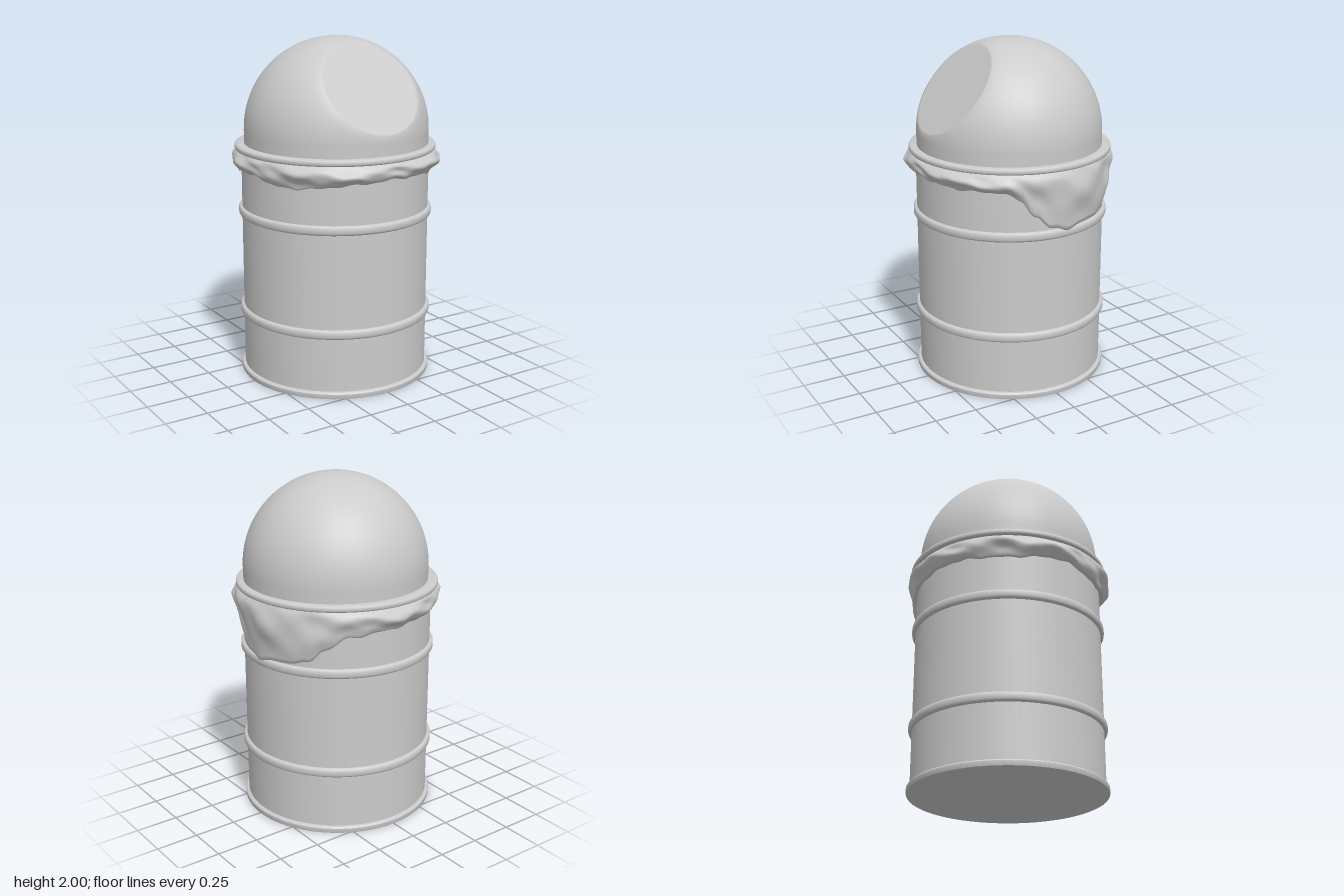
import * as THREE from 'three';
import { toCreasedNormals } from 'three/addons/utils/BufferGeometryUtils.js';

const material = new THREE.MeshStandardMaterial({ color: 0xcccccc });
const linerMaterial = new THREE.MeshStandardMaterial({ color: 0xcccccc, side: THREE.DoubleSide });
const SEGMENTS = 64;

function named(name, geometry, mat = material) {
  const mesh = new THREE.Mesh(geometry, mat);
  mesh.name = name;
  return mesh;
}

// Turned part from [radius, y] points listed from bottom to top
function turned(name, points, crease = 0.6) {
  const lathe = new THREE.LatheGeometry(points.map(([r, y]) => new THREE.Vector2(r, y)), SEGMENTS);
  return named(name, toCreasedNormals(lathe, crease));
}

// Hoop with rounded outer edges
function hoop(name, inner, outer, y0, y1, bevel) {
  const b = bevel, h = bevel * 0.35;
  return turned(name, [
    [inner, y0], [outer - b, y0], [outer - h, y0 + h], [outer, y0 + b],
    [outer, y1 - b], [outer - h, y1 - h], [outer - b, y1], [inner, y1],
  ], 0.9);
}

// Dome: a sphere sliced by a tilted plane, leaving a flat round hatch
function createDome() {
  const R = 0.54, cut = 0.448, hatchR = 0.288, centreY = 1.46, tilt = 0.913;
  const place = (geometry) => geometry.rotateX(tilt).translate(0, centreY, 0);
  const profile = [];
  const rows = 36, start = Math.acos(cut / R);
  for (let i = 0; i <= rows; i++) {
    const t = Math.PI + (start - Math.PI) * (i / rows);
    profile.push(new THREE.Vector2(Math.max(0, R * Math.sin(t)), R * Math.cos(t)));
  }
  profile.push(new THREE.Vector2(hatchR, cut));
  const shell = place(new THREE.LatheGeometry(profile, SEGMENTS));

  // Flatten the part sunk below the rim
  const pos = shell.attributes.position;
  for (let i = 0; i < pos.count; i++) pos.setY(i, Math.max(pos.getY(i), 1.36));

  const disc = new THREE.CircleGeometry(hatchR, SEGMENTS).rotateX(-Math.PI / 2).translate(0, cut, 0);
  const dome = new THREE.Group();
  dome.name = 'dome';
  dome.add(named('domeShell', shell), named('hatch', place(disc)));
  return dome;
}

// Lower hem of the liner: [degrees from +x towards +z, height]
const HEM = [
  [-61, 1.2], [-47, 1.13], [-38, 1.05], [-20, 1.03], [-6, 1.01], [5, 1.03], [15, 1.11], [23, 1.2],
  [32, 1.25], [60, 1.25], [90, 1.26], [115, 1.245], [135, 1.225], [150, 1.215], [180, 1.25],
  [215, 1.22], [250, 1.235], [280, 1.22], [299, 1.2],
];

function hemHeight(degrees) {
  const i = HEM.findIndex(([a]) => a > degrees);
  const [a0, y0] = HEM[i - 1], [a1, y1] = HEM[i];
  return THREE.MathUtils.lerp(y0, y1, THREE.MathUtils.smoothstep(degrees, a0, a1));
}

// Crumpled bag liner folded over the rim, hanging low on the left side
function createLiner() {
  const around = 160, rows = 14, positions = [], index = [];
  for (let j = 0; j <= rows + 1; j++) {
    const v = Math.min(1, j / rows);
    for (let i = 0; i < around; i++) {
      const degrees = -61 + (360 * i) / around;
      const a = THREE.MathUtils.degToRad(degrees);
      const hem = hemHeight(degrees) + 0.004 * Math.sin(17 * a) + 0.003 * Math.sin(29 * a + 1);
      const y = THREE.MathUtils.lerp(1.355, hem, v);
      const sag = THREE.MathUtils.clamp((1.25 - hem) / 0.2, 0, 1);
      const swell = Math.sin(Math.PI * Math.pow(v, 0.9 - 0.35 * sag));
      const folds = 0.010 * Math.sin(5 * a + 5 * v + 0.6) + 0.006 * Math.sin(9 * a - 6 * v)
        + 0.004 * Math.sin(16 * a + 8 * v + 2);
      let r = 0.569 + swell * (0.036 - 0.012 * sag + folds);
      if (j > rows) r = 0.546; // hem tucked back to the wall
      positions.push(r * Math.cos(a), y, r * Math.sin(a));
      if (j <= rows) {
        const n = (i + 1) % around, p = j * around, q = p + around;
        index.push(p + i, p + n, q + i, p + n, q + n, q + i);
      }
    }
  }
  const geometry = new THREE.BufferGeometry();
  geometry.setAttribute('position', new THREE.Float32BufferAttribute(positions, 3));
  geometry.setIndex(index);
  geometry.computeVertexNormals();
  return named('binLiner', geometry, linerMaterial);
}

export function createModel() {
  const model = new THREE.Group();
  model.name = 'domeTopBin';

  // Drum with a closed bottom, base flange and two hoops
  const drum = new THREE.Group();
  drum.name = 'drum';
  drum.position.set(-0.005, 0, -0.006);
  drum.add(
    turned('drumWall', [
      [0, 0], [0.568, 0], [0.57, 0.005], [0.57, 0.028], [0.562, 0.036], [0.55, 0.038], [0.55, 1.36],
    ]),
    hoop('lowerHoop', 0.545, 0.57, 0.355, 0.41, 0.014),
    hoop('upperHoop', 0.545, 0.57, 0.96, 1.015, 0.014),
    hoop('rim', 0.525, 0.589, 1.352, 1.386, 0.01),
  );

  // Straight collar under the dome
  const collar = turned('collar', [[0.539, 1.37], [0.54, 1.445]]);

  model.add(drum, collar, createDome(), createLiner());
  return model;
}
